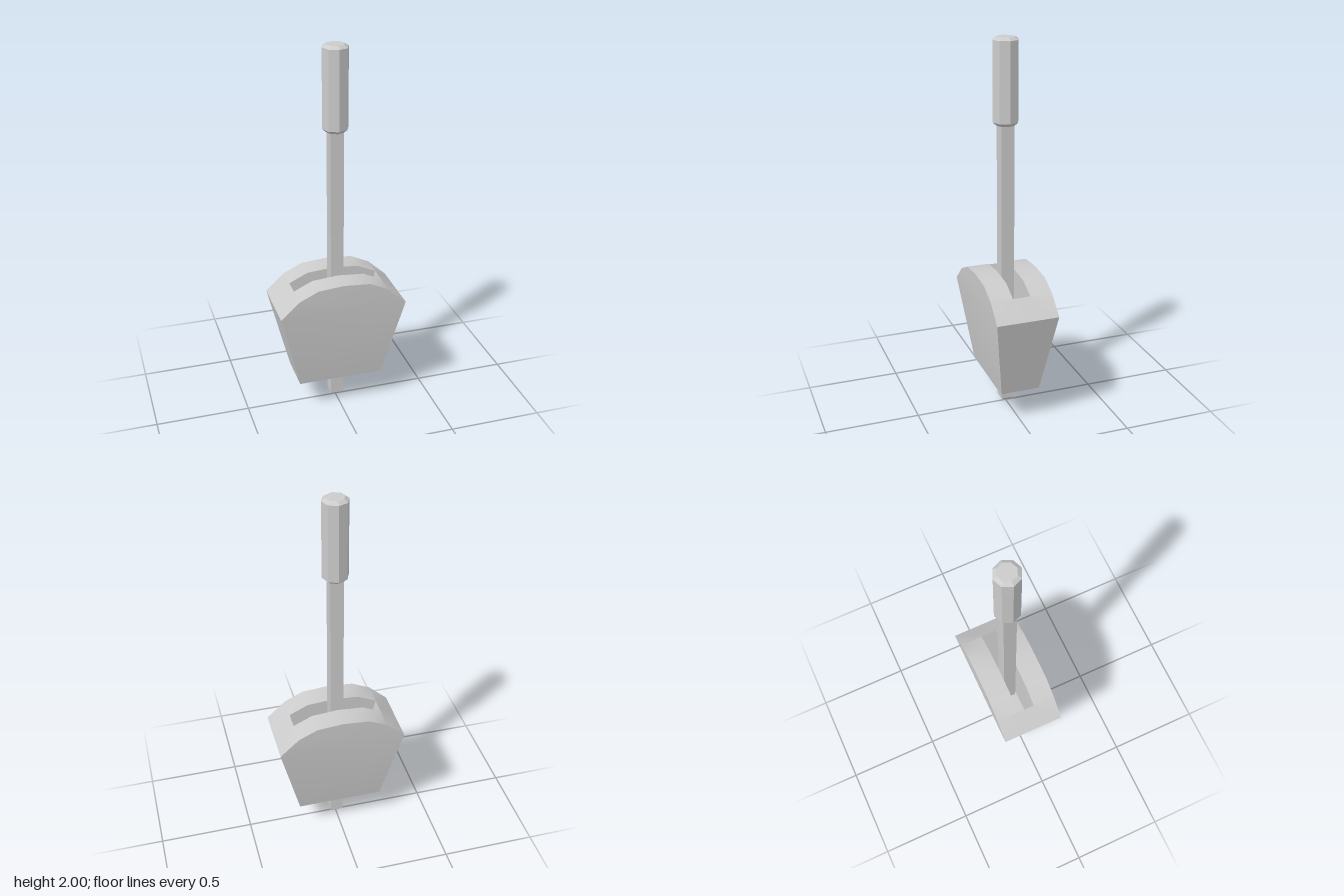
import * as THREE from 'three';
import { toCreasedNormals } from 'three/addons/utils/BufferGeometryUtils.js';

const material = new THREE.MeshStandardMaterial({ color: 0xcccccc });
const flatMaterial = new THREE.MeshStandardMaterial({ color: 0xcccccc, flatShading: true });

// Tapered housing with an arched top and a slot, built from quarter faces and mirrored
function housingGeometry() {
  const arc = [[-0.34, 0.625], [-0.24, 0.717], [-0.14, 0.764], [0, 0.775], [0.14, 0.764], [0.24, 0.717], [0.34, 0.625]];
  const base = 0.175, baseX = 0.23, baseZ = 0.105, topZ = 0.167;
  const floorY = 0.35, floorX = 0.15, floorZ = 0.042, slotZ = 0.047;
  const positions = [];
  // Adds a convex-ish polygon as a fan, mirrored by the given signs
  const face = (points, sx, sz) => {
    const p = points.map(([x, y, z]) => [x * sx, y, z * sz]);
    if (sx * sz < 0) p.reverse();
    for (let i = 1; i < p.length - 1; i++) positions.push(...p[0], ...p[i], ...p[i + 1]);
  };
  const [shoulderX, shoulderY] = arc[6], [slotX, slotY] = arc[5];

  for (const sz of [1, -1]) {
    // broad faces
    face([[-baseX, base, baseZ], [baseX, base, baseZ], [shoulderX, shoulderY, topZ], [-shoulderX, shoulderY, topZ]], 1, sz);
    face([...arc].reverse().map(([x, y]) => [x, y, topZ]), 1, sz);
    // arched top, open over the slot
    for (let i = 0; i < 6; i++) {
      const [x0, y0] = arc[i], [x1, y1] = arc[i + 1];
      const inner = i === 0 || i === 5 ? 0 : slotZ;
      face([[x0, y0, topZ], [x1, y1, topZ], [x1, y1, inner], [x0, y0, inner]], 1, sz);
    }
    // underside, slot floor and slot side wall
    face([[-baseX, base, 0], [baseX, base, 0], [baseX, base, baseZ], [-baseX, base, baseZ]], 1, sz);
    face([[-floorX, floorY, floorZ], [floorX, floorY, floorZ], [floorX, floorY, 0], [-floorX, floorY, 0]], 1, sz);
    face([[-floorX, floorY, floorZ], ...arc.slice(1, 6).map(([x, y]) => [x, y, slotZ]), [floorX, floorY, floorZ]], 1, sz);
    // narrow ends and sloping slot ends
    for (const sx of [1, -1]) {
      face([[baseX, base, baseZ], [baseX, base, 0], [shoulderX, shoulderY, 0], [shoulderX, shoulderY, topZ]], sx, sz);
      face([[floorX, floorY, 0], [floorX, floorY, floorZ], [slotX, slotY, slotZ], [slotX, slotY, 0]], sx, sz);
    }
  }
  const geometry = new THREE.BufferGeometry();
  geometry.setAttribute('position', new THREE.Float32BufferAttribute(positions, 3));
  return toCreasedNormals(geometry, 0.5);
}

export function createModel() {
  const model = new THREE.Group();
  model.name = 'lever';
  const add = (name, geometry, mat, y = 0) => {
    const mesh = new THREE.Mesh(geometry, mat);
    mesh.name = name;
    mesh.position.y = y;
    model.add(mesh);
    return mesh;
  };

  add('housing', housingGeometry(), material);

  // Square rod running through the housing, with a pyramid point below
  const half = 0.035, rodBottom = 0.03, rodTop = 1.58;
  add('rod', new THREE.BoxGeometry(half * 2, rodTop - rodBottom, half * 2), material, (rodTop + rodBottom) / 2);
  const tip = new THREE.CylinderGeometry(half * Math.SQRT2, 0, rodBottom, 4);
  tip.rotateY(Math.PI / 4);
  add('rodTip', tip, flatMaterial, rodBottom / 2);

  // Eight-sided grip with bevelled ends
  const profile = [[0, 1.56], [0.048, 1.56], [0.068, 1.577], [0.068, 1.986], [0.048, 2], [0, 2]];
  add('grip', new THREE.LatheGeometry(profile.map(([r, y]) => new THREE.Vector2(r, y)), 8), flatMaterial);

  return model;
}
